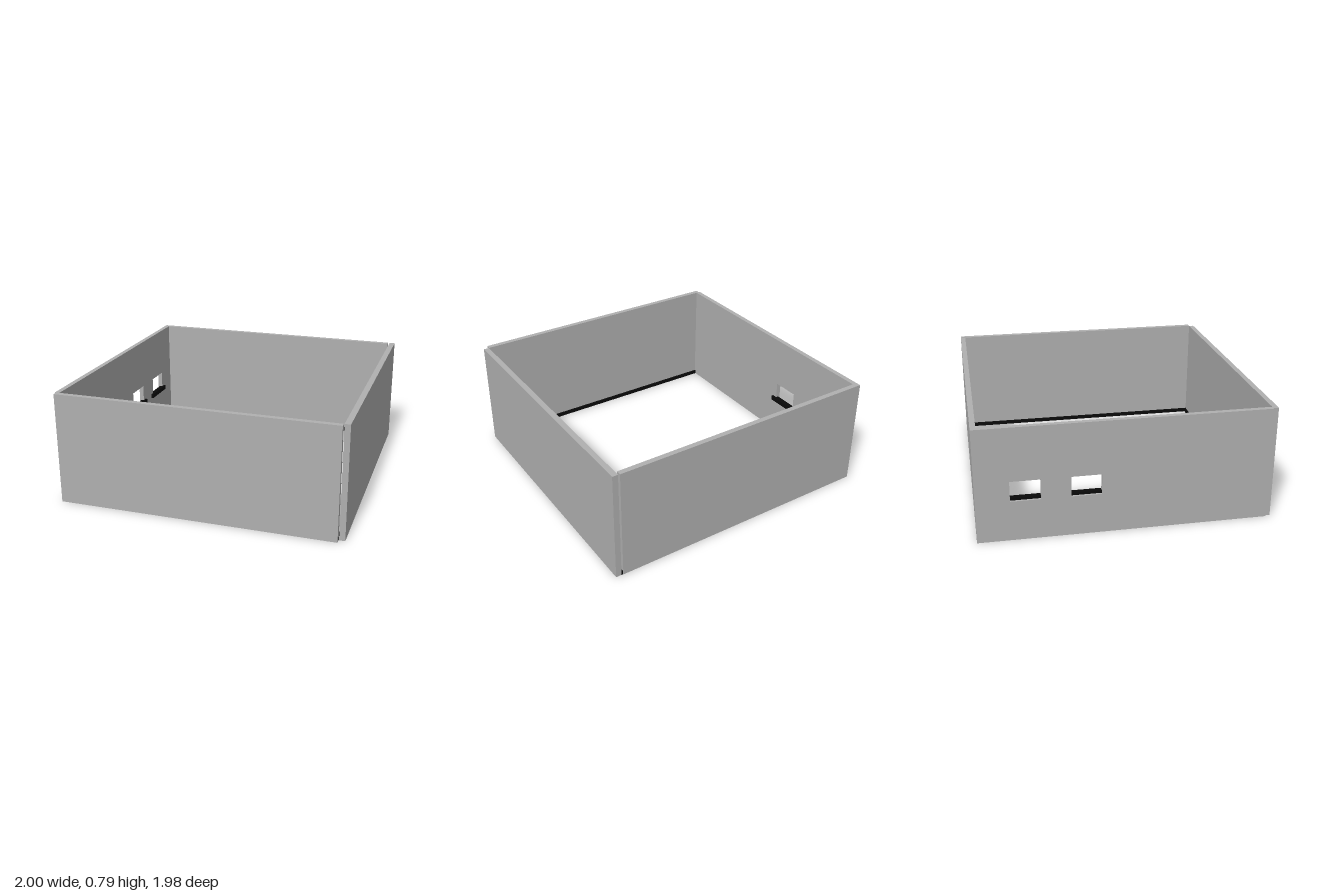
import * as THREE from 'three';

const HEIGHT = 0.79;
const WINDOWS = [-0.67, -0.275]; // window centres along z

export function createModel() {
  const model = new THREE.Group();
  model.name = 'walledRoom';
  const wallGrey = new THREE.MeshStandardMaterial({ color: 0xb0b0b0 });
  wallGrey.name = 'wall grey';
  const trimBlack = new THREE.MeshStandardMaterial({ color: 0x0a0a0a });
  trimBlack.name = 'trim black';

  // Box given by its lower and upper corner
  function block(name, material, [x0, y0, z0], [x1, y1, z1]) {
    const mesh = new THREE.Mesh(new THREE.BoxGeometry(x1 - x0, y1 - y0, z1 - z0), material);
    mesh.position.set((x0 + x1) / 2, (y0 + y1) / 2, (z0 + z1) / 2);
    mesh.name = name;
    model.add(mesh);
  }

  // Plain walls, each offset past its neighbour at the corners
  block('backWall', wallGrey, [-1, 0, -0.993], [0.948, HEIGHT, -0.957]);
  block('frontWall', wallGrey, [-0.99, 0, 0.955], [0.957, HEIGHT, 0.992]);
  block('leftWall', wallGrey, [0.96, 0, -0.99], [1, HEIGHT, 0.956]);

  // Right wall with two window openings, drawn in z and y
  const outline = new THREE.Shape();
  outline.moveTo(-0.957, 0).lineTo(0.955, 0).lineTo(0.955, HEIGHT).lineTo(-0.957, HEIGHT).closePath();
  for (const z of WINDOWS) {
    const hole = new THREE.Path();
    hole.moveTo(z - 0.1, 0.28).lineTo(z - 0.1, 0.42).lineTo(z + 0.1, 0.42).lineTo(z + 0.1, 0.28).closePath();
    outline.holes.push(hole);
  }
  const windowWall = new THREE.Mesh(
    new THREE.ExtrudeGeometry(outline, { depth: 0.035, bevelEnabled: false }), wallGrey);
  windowWall.rotation.y = -Math.PI / 2;
  windowWall.position.x = -0.965;
  windowWall.name = 'rightWall';
  model.add(windowWall);

  // Window sills projecting into the room
  for (const z of WINDOWS) {
    block('windowSill', trimBlack, [-0.985, 0.265, z - 0.137], [-0.949, 0.298, z + 0.137]);
  }

  // Skirting boards along the three plain walls
  block('backSkirting', trimBlack, [-0.965, 0, -0.957], [0.945, 0.028, -0.945]);
  block('frontSkirting', trimBlack, [-0.965, 0, 0.943], [0.955, 0.028, 0.955]);
  block('leftSkirting', trimBlack, [0.948, 0, -0.99], [0.96, 0.028, 0.955]);

  return model;
}
